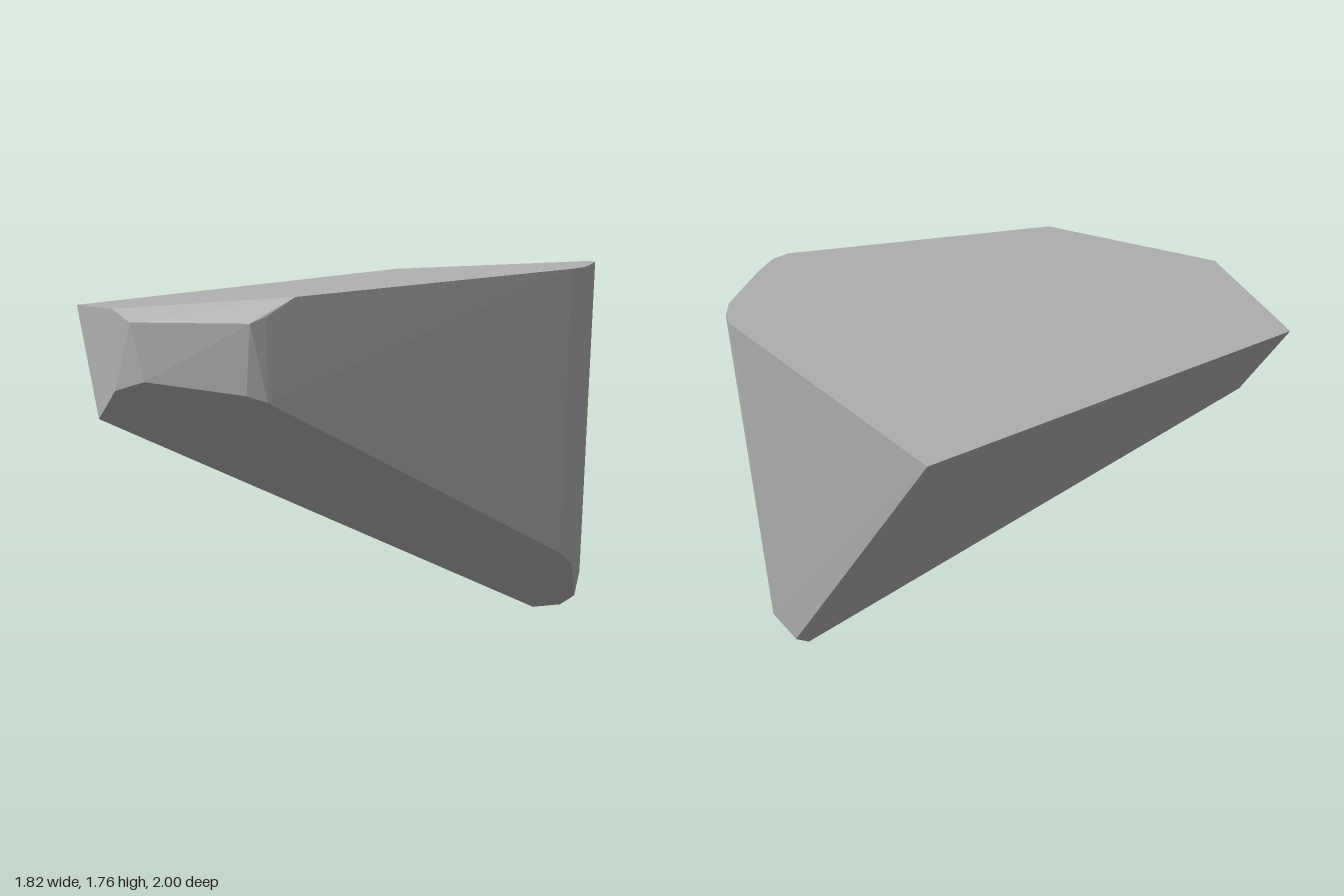
import * as THREE from 'three';
import { ConvexGeometry } from 'three/addons/geometries/ConvexGeometry.js';

// The two big cut planes of the stone, as heights over the x-z plane
const topHeight = (x, z) => 1.66 + 0.11 * x;
const baseHeight = (x, z) => 0.577 + 0.342 * x + 0.837 * z;
const onPlane = (height, outline) =>
  outline.map(([x, z]) => new THREE.Vector3(x, height(x, z), z));

export function createModel() {
  const group = new THREE.Group();
  group.name = 'rockShard';
  const stone = new THREE.MeshStandardMaterial({ color: 0xb0b0b0 });
  stone.name = 'grey stone';

  // Outline of the nearly level top face
  const top = onPlane(topHeight, [
    [-0.91, 0.765], [-0.36, 0.985], [0.33, 0.62], [0.895, -0.46], [0.9, -0.54],
    [0.86, -0.65], [0.74, -0.895], [0.68, -0.955], [0.62, -0.98], [-0.53, -1.0],
  ]);

  // Outline of the steep underside
  const base = onPlane(baseHeight, [
    [-0.63, 0.88], [-0.36, 0.987], [-0.17, 0.985], [0.22, 0.788], [0.28, 0.73],
    [0.9, -0.46], [0.905, -0.56], [0.77, -0.815], [0.65, -0.885], [0.49, -0.89],
  ]);

  // Chipped front edge and the small facets at the lower tip
  const chips = [
    [-0.23, 1.58, 0.998], [0.24, 1.6, 0.78], [0.275, 1.625, 0.725],
    [0.74, 0.25, -0.9], [0.62, 0.16, -0.98], [0.46, 0.1, -0.98],
  ].map((p) => new THREE.Vector3(...p));

  const rock = new THREE.Mesh(new ConvexGeometry([...top, ...base, ...chips]), stone);
  rock.name = 'rock';
  group.add(rock);
  return group;
}
